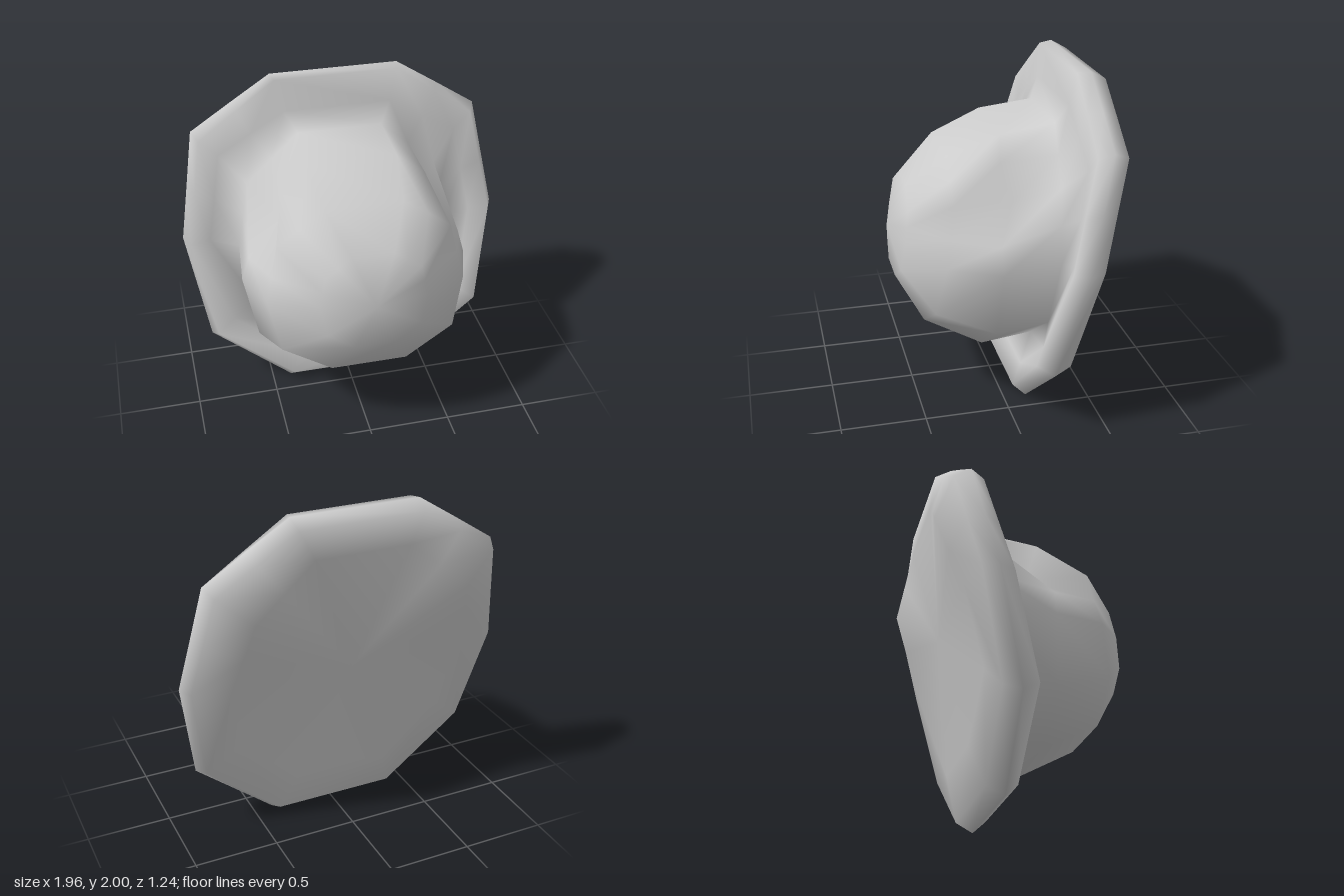
import * as THREE from 'three';

// Outline: sideways share of the half-width, and height level (0 bottom .. 4 top).
// Half levels are extra columns on the upper sides, around the dents.
const HALF = [[0.39, 0], [0.885, 1], [1, 2], [0.942, 2.5], [0.885, 3], [0.64, 3.5], [0.39, 4]];
const OUTLINE = [...HALF, ...HALF.map(([u, level]) => [-u, level]).reverse()];

// Cross-sections from the crown's tip, over the brim, to the back:
// half-width, then height and depth at the five levels.
// 'dent' moves single columns, keyed by level, to shape the pinch on both sides.
const RINGS = [
  { w: 0.31, y: [0.77, 0.87, 1.05, 1.23, 1.33], z: [0.60, 0.585, 0.56, 0.535, 0.52] },
  { w: 0.58, y: [0.51, 0.69, 0.99, 1.33, 1.52], z: [0.45, 0.43, 0.375, 0.32, 0.30],
    dent: { 2.5: [0.545, 1.15, 0.34], 3: [0.505, 1.33, 0.32] } },
  { w: 0.68, y: [0.33, 0.57, 0.965, 1.40, 1.64], z: [0.11, 0.10, 0.075, 0.03, 0.0],
    dent: { 2.5: [0.635, 1.12, 0.08], 3: [0.42, 1.29, -0.03], 3.5: [0.425, 1.53, 0.04] } },
  { w: 0.65, y: [0.36, 0.59, 0.99, 1.41, 1.68], z: [-0.20, -0.21, -0.26, -0.27, -0.32] },
  { w: 0.82, y: [0.19, 0.52, 1.04, 1.56, 1.80], z: [-0.12, -0.14, -0.27, -0.37, -0.38] },
  { w: 0.94, y: [0.07, 0.47, 1.05, 1.66, 1.99], z: [-0.06, -0.07, -0.23, -0.38, -0.405] },
  { w: 0.98, y: [0, 0.41, 1.05, 1.69, 2], z: [-0.135, -0.17, -0.32, -0.46, -0.48] },
  { w: 0.94, y: [0.05, 0.44, 1.05, 1.65, 1.95], z: [-0.24, -0.27, -0.41, -0.55, -0.57] },
  { w: 0.72, y: [0.30, 0.60, 1.05, 1.49, 1.78], z: [-0.32, -0.32, -0.46, -0.615, -0.58] },
];

// Value at a level, halfway between neighbours for half levels
const at = (values, level) => (values[Math.floor(level)] + values[Math.ceil(level)]) / 2;

function loft(tip, back) {
  const n = OUTLINE.length;
  const points = [new THREE.Vector3(...tip)];
  for (const r of RINGS) {
    for (const [u, level] of OUTLINE) {
      const moved = r.dent?.[level];
      points.push(moved
        ? new THREE.Vector3(Math.sign(u) * moved[0], moved[1], moved[2])
        : new THREE.Vector3(u * r.w, at(r.y, level), at(r.z, level)));
    }
  }
  const last = points.length;
  points.push(new THREE.Vector3(...back));

  const index = [];
  for (let j = 0; j < n; j++) {
    const k = (j + 1) % n;
    index.push(0, 1 + j, 1 + k);
    for (let i = 0; i < RINGS.length - 1; i++) {
      const a = 1 + i * n + j, b = a + n, d = 1 + i * n + k, c = d + n;
      // the two sides mirror each other's diagonals
      if (j < n / 2) index.push(a, b, c, a, c, d);
      else index.push(a, b, d, b, c, d);
    }
    index.push(last - n + j, last, last - n + k);
  }
  const g = new THREE.BufferGeometry().setFromPoints(points);
  g.setIndex(index);
  g.computeVertexNormals();
  return g;
}

export function createModel() {
  const group = new THREE.Group();
  group.name = 'hat';
  // crown and rolled brim as one smooth skin
  const hat = new THREE.Mesh(
    loft([0, 1.05, 0.62], [0, 1.04, -0.45]),
    new THREE.MeshStandardMaterial({ color: 0xcccccc }));
  hat.name = 'crownAndBrim';
  group.add(hat);
  return group;
}
